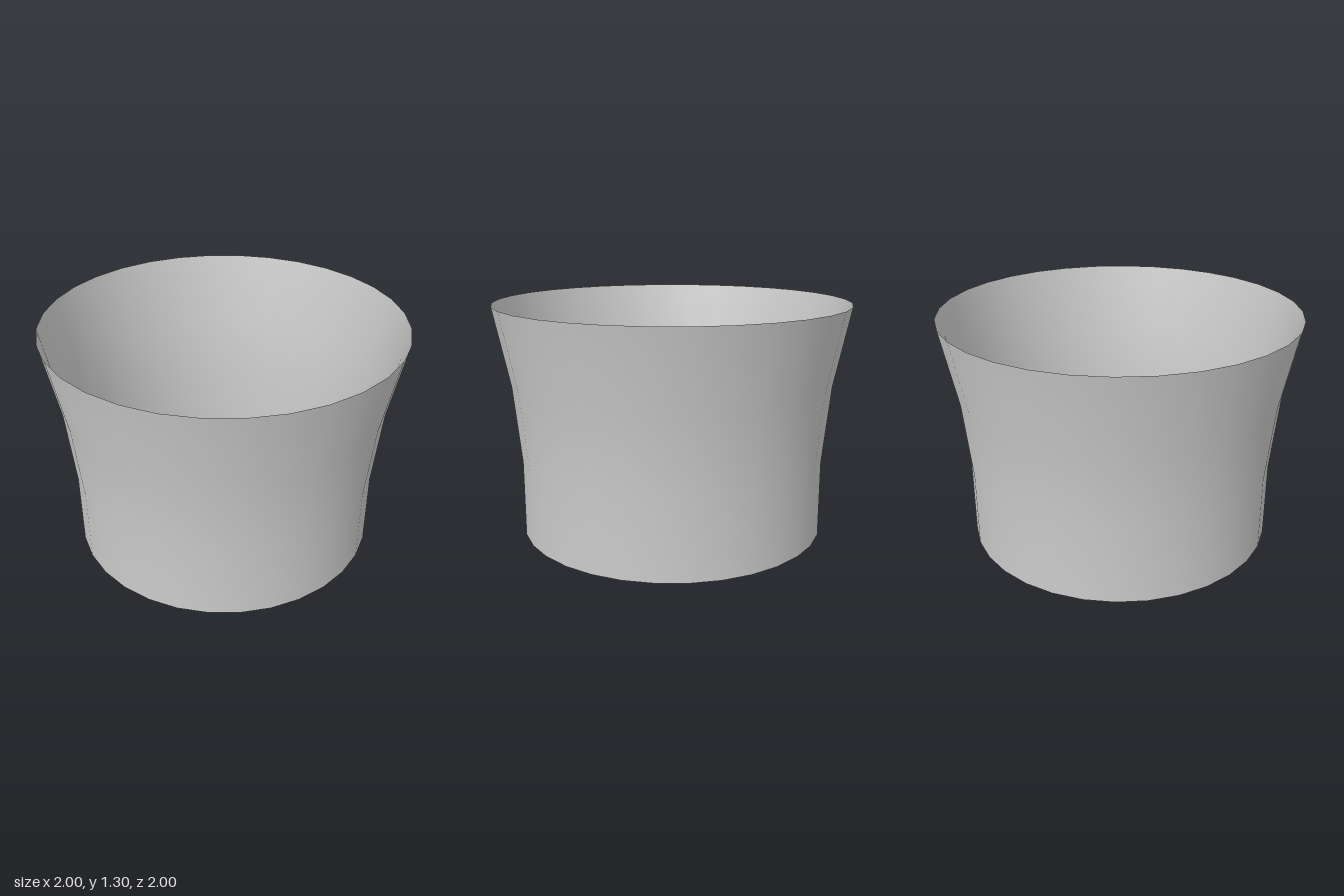
import * as THREE from 'three';

export function createModel() {
  const group = new THREE.Group();
  group.name = 'flaredCollar';

  // Open sleeve: straight lower band, then two steps flaring out to the rim
  const profile = [
    [0.87, 0],
    [0.87, 0.435],
    [0.912, 0.87],
    [1, 1.305],
  ].map(([r, y]) => new THREE.Vector2(r, y));

  const material = new THREE.MeshStandardMaterial({ color: 0xcccccc, side: THREE.DoubleSide });
  const wall = new THREE.Mesh(new THREE.LatheGeometry(profile, 32), material);
  wall.name = 'sleeveWall';
  group.add(wall);

  return group;
}
